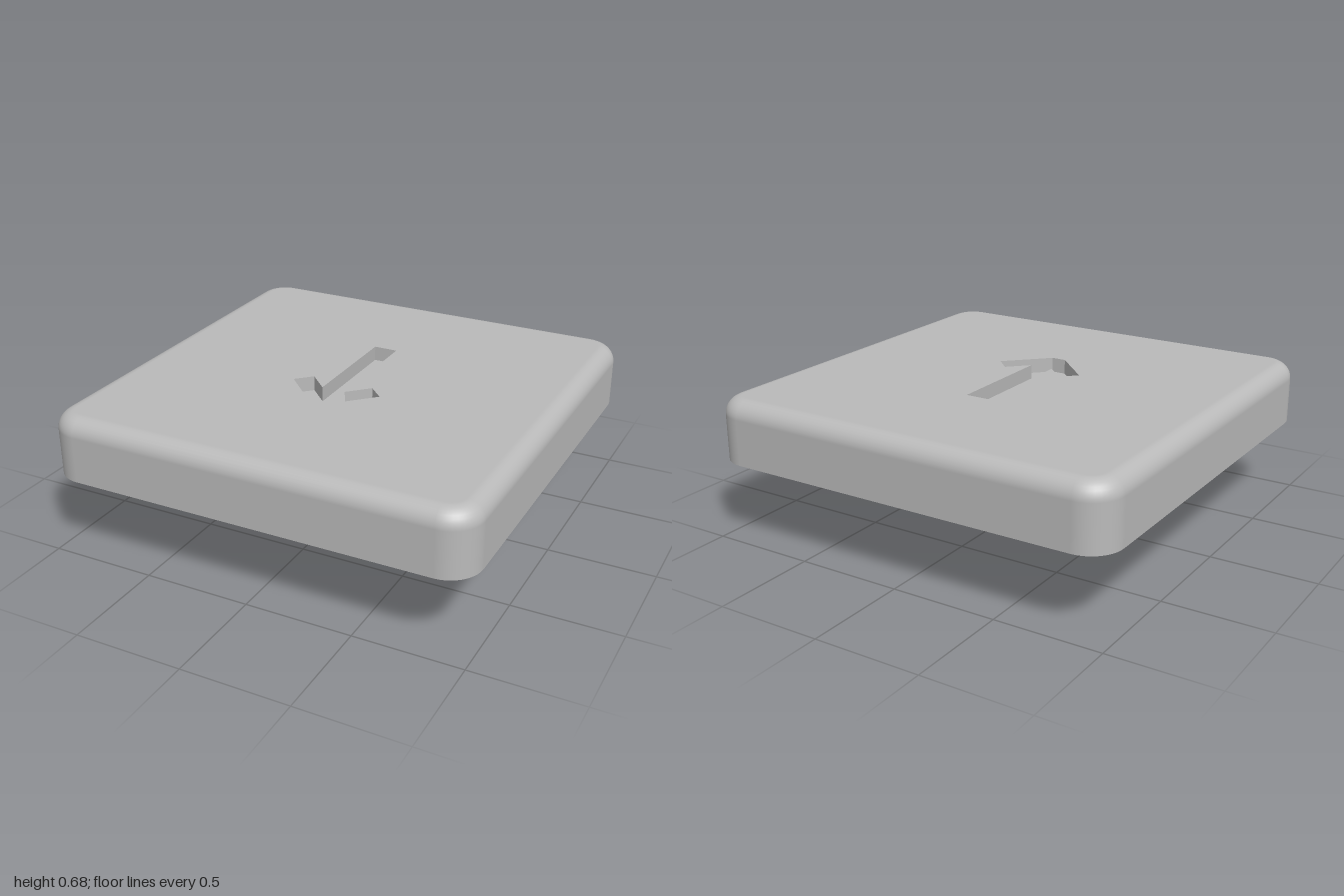
import * as THREE from 'three';

const BASE = 0.38, CEILING = 0.53, TOP = 0.675, FILLET = 0.08, ENGRAVE = 0.07;
const CORNER_STEPS = 10;

// Rounded square as points [x, y, corner angle], counter-clockwise
function ring(half, radius) {
  const pts = [];
  for (let q = 0; q < 4; q++) {
    const mid = Math.PI / 4 + q * Math.PI / 2;
    const cx = Math.sign(Math.cos(mid)) * (half - radius);
    const cy = Math.sign(Math.sin(mid)) * (half - radius);
    for (let i = 0; i <= CORNER_STEPS; i++) {
      const a = (q + i / CORNER_STEPS) * Math.PI / 2;
      pts.push([cx + radius * Math.cos(a), cy + radius * Math.sin(a), a]);
    }
  }
  return pts;
}

const toShape = (pts) => new THREE.Shape(pts.map(([x, y]) => new THREE.Vector2(x, y)));

// Wall through stacked rounded squares: rows of { half, radius, y, tilt }
function wall(rows, inward = false) {
  const pos = [], nor = [], idx = [], s = inward ? -1 : 1;
  const n = 4 * (CORNER_STEPS + 1);
  rows.forEach(({ half, radius, y, tilt }, j) => {
    ring(half, radius).forEach(([x, d, a], i) => {
      pos.push(x, y, -d);
      nor.push(s * Math.cos(a) * Math.cos(tilt), s * Math.sin(tilt), -s * Math.sin(a) * Math.cos(tilt));
      if (j === rows.length - 1) return;
      const k = (i + 1) % n, p = j * n + i, q = j * n + k, r = p + n, t = q + n;
      if (inward) idx.push(p, t, q, p, r, t);
      else idx.push(p, q, t, p, t, r);
    });
  });
  const g = new THREE.BufferGeometry();
  g.setAttribute('position', new THREE.Float32BufferAttribute(pos, 3));
  g.setAttribute('normal', new THREE.Float32BufferAttribute(nor, 3));
  g.setIndex(idx);
  return g;
}

export function createModel() {
  const group = new THREE.Group();
  const grey = new THREE.MeshStandardMaterial({ color: 0xbababa });
  grey.name = 'grey plastic';

  const add = (name, geometry, x = 0, y = 0, z = 0) => {
    const mesh = new THREE.Mesh(geometry, grey);
    mesh.name = name;
    mesh.position.set(x, y, z);
    group.add(mesh);
  };
  const faceUp = (g) => g.rotateX(-Math.PI / 2);
  const faceDown = (g) => g.rotateX(Math.PI / 2);

  // Outer side wall running into the rounded top edge
  const rows = [{ half: 1, radius: 0.15, y: BASE, tilt: 0 }];
  for (let i = 0; i <= 8; i++) {
    const tilt = i / 8 * Math.PI / 2, inset = FILLET * (1 - Math.cos(tilt));
    rows.push({ half: 1 - inset, radius: 0.15 - inset, y: TOP - FILLET * (1 - Math.sin(tilt)), tilt });
  }
  add('outerShell', wall(rows));

  // Top plate with the arrow cut out of it, pointing to the front
  const halfArrow = [[0.057, 0.36], [0.057, -0.19], [0.15, -0.097], [0.22, -0.167], [0.035, -0.352]];
  const arrow = [...halfArrow, ...halfArrow.map(([x, y]) => [-x, y]).reverse()];
  const plate = toShape(ring(1 - FILLET, 0.15 - FILLET));
  plate.holes.push(toShape(arrow));
  add('topPlate', faceUp(new THREE.ExtrudeGeometry(plate, { depth: ENGRAVE, bevelEnabled: false })), 0, TOP - ENGRAVE);
  add('arrowFloor', faceUp(new THREE.ShapeGeometry(toShape(arrow))), 0, TOP - ENGRAVE);

  // Hollow underside: rim, inner wall and ceiling
  const inner = { half: 0.88, radius: 0.03, tilt: 0 };
  const rim = toShape(ring(1, 0.15));
  rim.holes.push(toShape(ring(inner.half, inner.radius)));
  add('bottomRim', faceDown(new THREE.ShapeGeometry(rim)), 0, BASE);
  add('innerWall', wall([{ ...inner, y: BASE }, { ...inner, y: CEILING }], true));
  add('ceiling', faceDown(new THREE.ShapeGeometry(toShape(ring(inner.half, inner.radius)))), 0, CEILING);

  // Two mounting legs
  for (const side of [1, -1]) {
    add(side > 0 ? 'leftLeg' : 'rightLeg', new THREE.BoxGeometry(0.135, CEILING, 0.36), side * 0.357, CEILING / 2);
  }
  return group;
}
